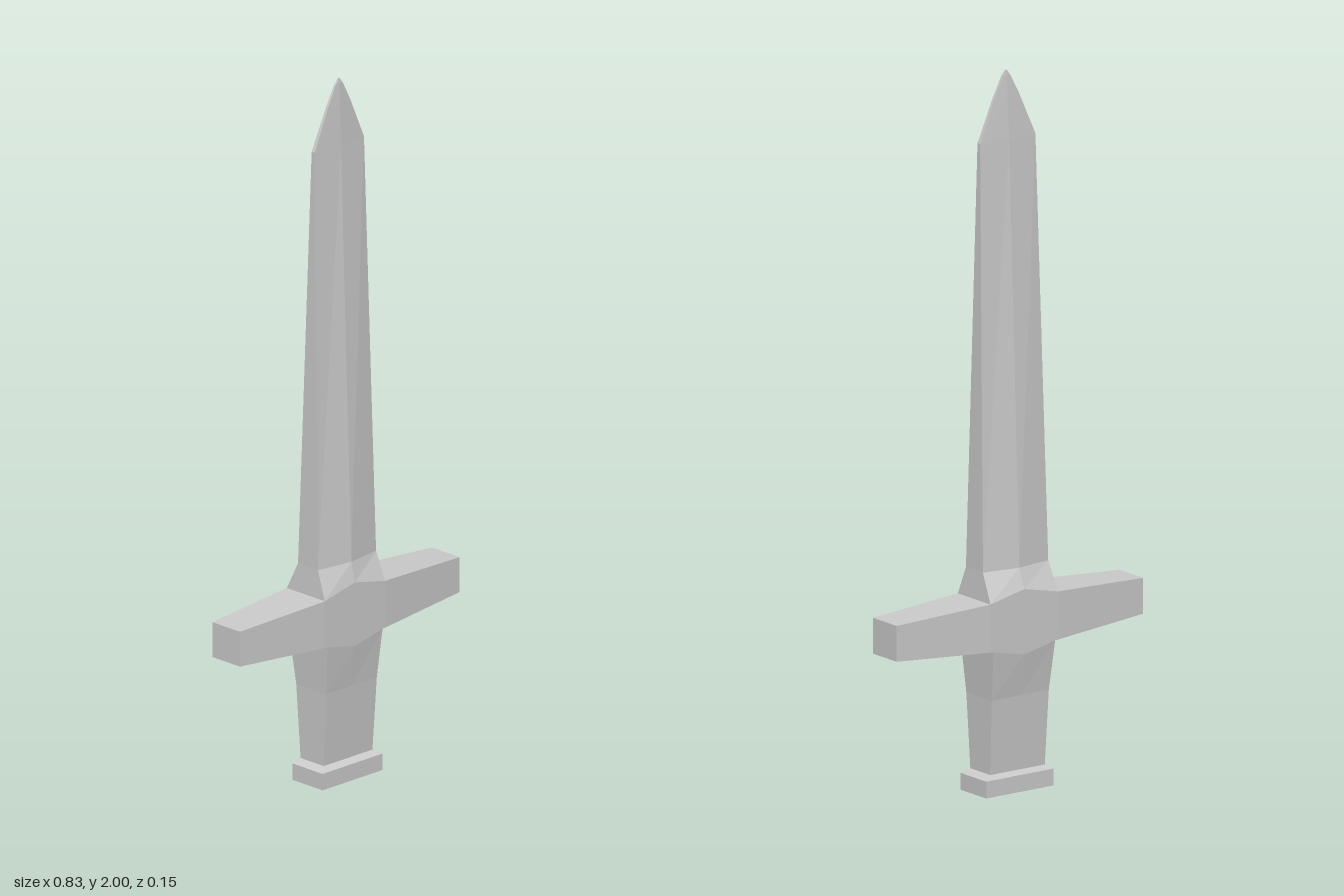
import * as THREE from 'three';

const material = new THREE.MeshStandardMaterial({ color: 0xcccccc, flatShading: true });

// Skin a list of equal-length rings of [x, y, z] points and cap both ends.
function loft(name, rings) {
  const n = rings[0].length;
  const last = (rings.length - 1) * n;
  const index = [];
  for (let r = 0; r < rings.length - 1; r++) {
    for (let i = 0; i < n; i++) {
      const a = r * n + i, b = r * n + (i + 1) % n;
      index.push(a, a + n, b, b, a + n, b + n);
    }
  }
  for (let i = 1; i < n - 1; i++) {
    index.push(0, i, i + 1, last, last + i + 1, last + i);
  }
  const indexed = new THREE.BufferGeometry();
  indexed.setAttribute('position', new THREE.Float32BufferAttribute(rings.flat(2), 3));
  indexed.setIndex(index);
  const geometry = indexed.toNonIndexed();
  geometry.computeVertexNormals();
  const mesh = new THREE.Mesh(geometry, material);
  mesh.name = name;
  return mesh;
}

// Six-sided section: flat sides at +-w, a ridge on the front and back centre.
// mid is the centre of z; edge and ridge are half thicknesses there.
const section = ([y, ridgeY, w, edge, ridge, mid = 0]) => [
  [w, y, mid + edge], [0, ridgeY, mid + ridge], [-w, y, mid + edge],
  [-w, y, mid - edge], [0, ridgeY, mid - ridge], [w, y, mid - edge],
];

const rect = (y, w, front, back) => [[w, y, front], [-w, y, front], [-w, y, back], [w, y, back]];

const armEnd = (x, bottom, top, d) => [[x, bottom, d], [x, top, d], [x, top, -d], [x, bottom, -d]];

export function createModel() {
  const sword = new THREE.Group();
  sword.name = 'sword';

  // Pommel: a flat block with a small bevel on top
  sword.add(loft('pommel', [
    rect(0, 0.113, 0.063, -0.053),
    rect(0.047, 0.113, 0.063, -0.053),
    rect(0.06, 0.093, 0.046, -0.042),
  ]));

  // Grip, widening towards the guard
  const guardBottom = [0.41, 0.388, 0.104, 0.073, 0.073];
  const guardTop = [0.545, 0.57, 0.114, 0.073, 0.073];
  const bladeBase = [0.625, 0.625, 0.11, 0.038, 0.055, 0.004];
  sword.add(loft('grip', [
    [0.055, 0.055, 0.092, 0.044, 0.044, 0.002],
    [0.27, 0.27, 0.096, 0.057, 0.057, 0.002],
    guardBottom,
  ].map(section)));

  // Guard centre, sloping in to the blade
  sword.add(loft('guardCentre', [guardBottom, guardTop, bladeBase].map(section)));

  // Guard arms, tapering outwards
  for (const side of ['left', 'right']) {
    const arm = loft(side + 'GuardArm', [
      armEnd(0.1, 0.41, 0.546, 0.073),
      armEnd(0.115, 0.411, 0.545, 0.073),
      armEnd(0.415, 0.43, 0.53, 0.053),
    ]);
    if (side === 'right') arm.rotation.y = Math.PI;
    sword.add(arm);
  }

  // Blade with a central ridge and a pointed tip
  sword.add(loft('blade', [
    bladeBase,
    [1.81, 1.81, 0.093, 0.006, 0.012, 0.007],
    [1.93, 1.93, 0.041, 0.004, 0.007, 0.009],
    [1.985, 1.985, 0.013, 0.003, 0.004, 0.01],
    [2, 2, 0.002, 0.002, 0.002, 0.01],
  ].map(section)));

  return sword;
}
